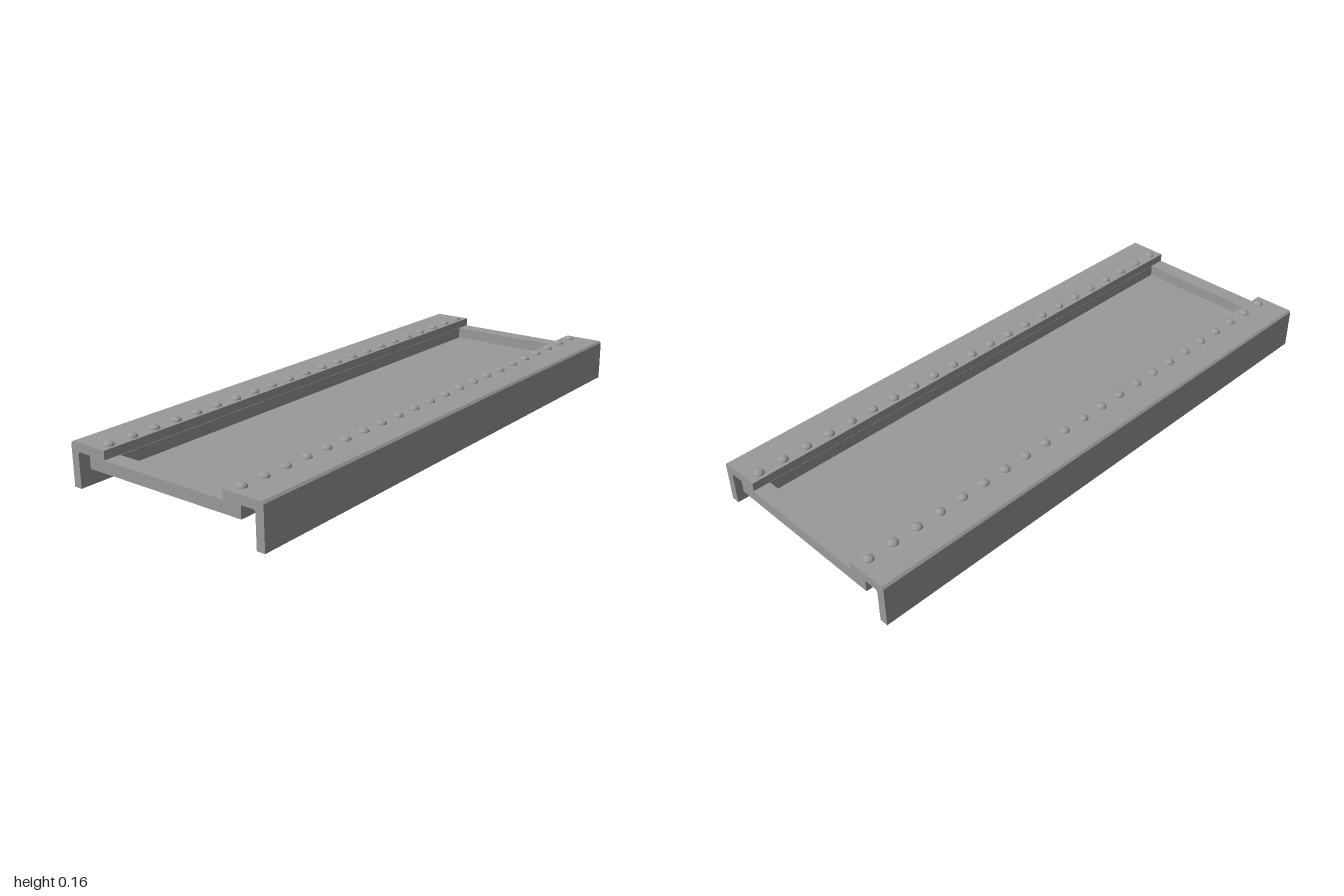
import * as THREE from 'three';

const HALF_LENGTH = 1;
const material = new THREE.MeshStandardMaterial({ color: 0x9a9a9a });
const sheetMaterial = new THREE.MeshStandardMaterial({ color: 0x9a9a9a, side: THREE.DoubleSide });

// L-shaped rail section with chamfered corners, extruded along z
function railGeometry(side) {
  const section = [
    [0.388, 0], [0.388, 0.143], [0.381, 0.15], [0.24, 0.15], [0.24, 0.12],
    [0.35, 0.12], [0.355, 0.118], [0.358, 0.112], [0.358, 0],
  ];
  const shape = new THREE.Shape(section.map(([x, y]) => new THREE.Vector2(x * side, y)));
  const g = new THREE.ExtrudeGeometry(shape, { depth: 2 * HALF_LENGTH, bevelEnabled: false });
  return g.translate(0, 0, -HALF_LENGTH);
}

// Pressed sheet: outer skirt, flat rim, sunken wall and floor
function trayGeometry() {
  const loop = (x, y, z) => [[-x, y, z], [x, y, z], [x, y, -z], [-x, y, -z]];
  const loops = [
    loop(0.306, 0.078, HALF_LENGTH),
    loop(0.306, 0.119, HALF_LENGTH),
    loop(0.24, 0.119, 0.94),
    loop(0.24, 0.078, 0.94),
  ];
  const pos = [];
  const quad = (a, b, c, d) => pos.push(...a, ...b, ...c, ...a, ...c, ...d);
  for (let i = 0; i < 3; i++) {
    for (let j = 0; j < 4; j++) {
      const k = (j + 1) % 4;
      quad(loops[i][j], loops[i][k], loops[i + 1][k], loops[i + 1][j]);
    }
  }
  quad(...loops[3]);
  const g = new THREE.BufferGeometry();
  g.setAttribute('position', new THREE.Float32BufferAttribute(pos, 3));
  g.computeVertexNormals();
  return g;
}

export function createModel() {
  const group = new THREE.Group();
  const add = (geometry, name, mat = material) => {
    const mesh = new THREE.Mesh(geometry, mat);
    mesh.name = name;
    group.add(mesh);
    return mesh;
  };

  add(trayGeometry(), 'tray', sheetMaterial);

  // Flattened dome rivet heads in a row along each rail
  const dome = new THREE.SphereGeometry(0.018, 24, 10, 0, Math.PI * 2, 0, Math.PI / 2).scale(1, 0.67, 1);
  const count = 22;
  for (const side of [1, -1]) {
    const label = side > 0 ? 'left' : 'right';
    add(railGeometry(side), label + 'Rail');
    for (let i = 0; i < count; i++) {
      const z = -0.956 + (1.912 * i) / (count - 1);
      add(dome, label + 'Rivet').position.set(0.269 * side, 0.15, z);
    }
  }
  return group;
}
